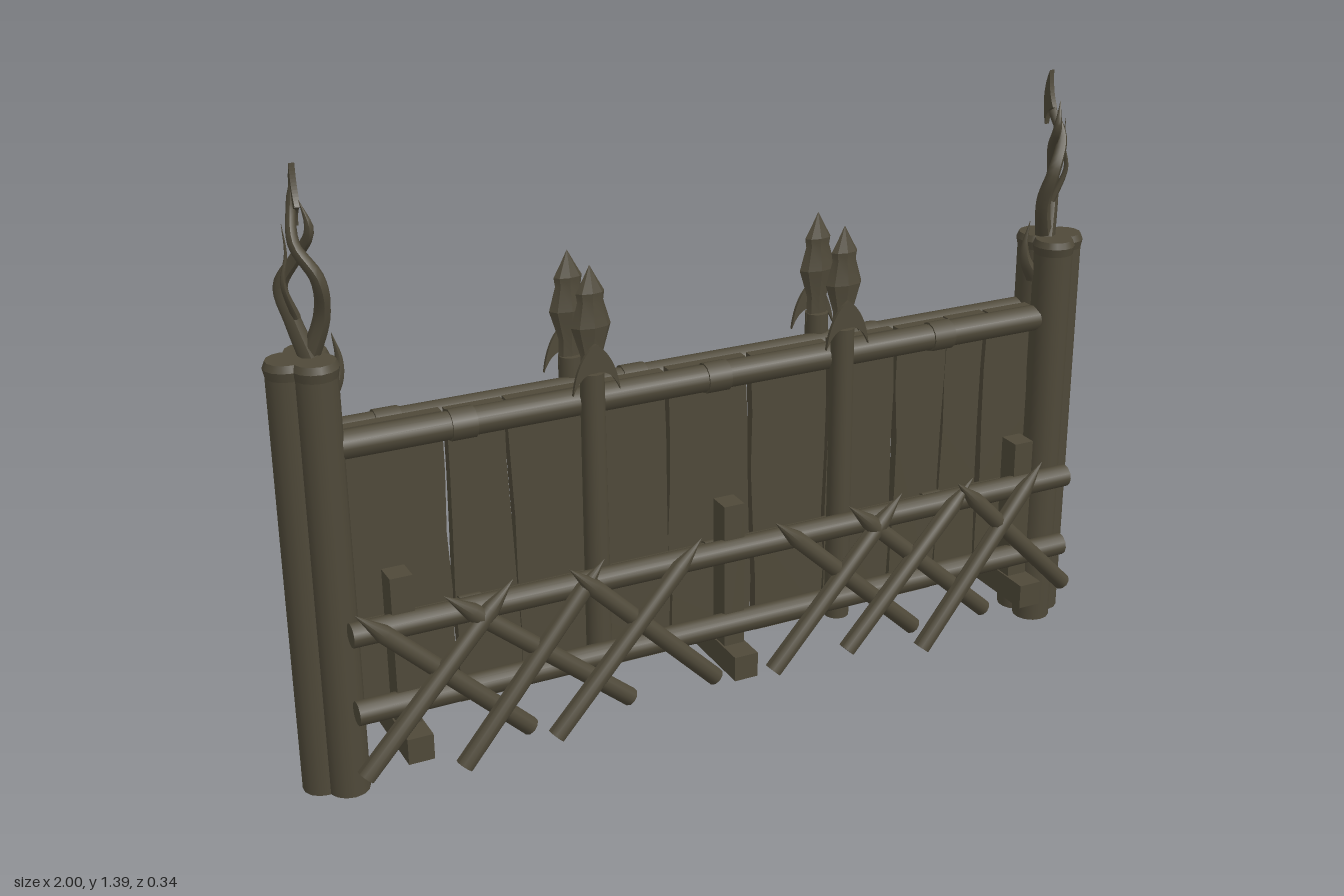
import * as THREE from 'three';
import { toCreasedNormals } from 'three/addons/utils/BufferGeometryUtils.js';

const V = (x, y, z) => new THREE.Vector3(x, y, z);

// small seeded random
function seeded(seed) {
  return () => ((seed = (seed * 16807) % 2147483647) / 2147483647);
}

export function createModel() {
  const model = new THREE.Group();
  const wood = new THREE.MeshStandardMaterial({ color: 0x4f4939 });
  wood.name = 'darkWood';
  const rand = seeded(77);

  function add(name, geo, parent = model) {
    const m = new THREE.Mesh(geo, wood);
    m.name = name;
    parent.add(m);
    return m;
  }
  function box(name, w, h, d, x, y, z) {
    add(name, new THREE.BoxGeometry(w, h, d)).position.set(x, y, z);
  }
  function upright(name, r, y0, y1, x, z, parent, r2 = r) {
    const g = new THREE.CylinderGeometry(r2, r, y1 - y0, 14);
    add(name, g, parent).position.set(x, (y0 + y1) / 2, z);
  }
  function beam(name, r, x0, x1, y, z, sides = 12) {
    const m = add(name, new THREE.CylinderGeometry(r, r, x1 - x0, sides));
    m.rotation.z = Math.PI / 2;
    m.position.set((x0 + x1) / 2, y, z);
  }
  // tube that narrows along its path by a radius rule
  function taperedTube(points, radius) {
    const curve = new THREE.CatmullRomCurve3(points);
    const steps = 28, sides = 7;
    const g = new THREE.TubeGeometry(curve, steps, 1, sides);
    const p = g.attributes.position, v = V();
    for (let i = 0; i < p.count; i++) {
      const t = Math.floor(i / (sides + 1)) / steps;
      const c = curve.getPointAt(t);
      v.fromBufferAttribute(p, i).sub(c).multiplyScalar(radius(t)).add(c);
      p.setXYZ(i, v.x, v.y, v.z);
    }
    g.computeVertexNormals();
    return g;
  }

  // plank wall with uneven seams
  const seams = [-0.87, -0.63, -0.485, -0.3, -0.11, 0.1, 0.3, 0.485, 0.62, 0.735, 0.87];
  const rows = [0.13, 0.27, 0.41, 0.55, 0.69, 0.832];
  const edges = seams.map((x) => {
    const lean = (rand() - 0.5) * 0.03;
    return rows.map((y, i) => ({
      x: x + lean * (i / 5 - 0.5) + (rand() - 0.5) * 0.008, gap: 0.001 + rand() * 0.006, y,
    }));
  });
  for (let i = 0; i < seams.length - 1; i++) {
    const s = new THREE.Shape([
      ...edges[i].map((e) => new THREE.Vector2(e.x + e.gap, e.y)),
      ...[...edges[i + 1]].reverse().map((e) => new THREE.Vector2(e.x - e.gap, e.y)),
    ]);
    const g = new THREE.ExtrudeGeometry(s, { depth: 0.024, bevelEnabled: false });
    add('plank', g).position.z = -0.096 + (i % 2) * 0.004;
  }

  // top and middle rails with binding rings, front and back
  for (const [z, rings] of [[-0.052, [-0.6, 0, 0.59]], [-0.122, [-0.74, -0.17, 0.43]]]) {
    beam('topRail', 0.031, -0.88, 0.88, 0.805, z);
    beam('middleRail', 0.024, -0.88, 0.88, 0.37, z + (z < -0.1 ? 0.005 : -0.005));
    for (const x of rings) {
      beam('railRing', 0.035, x - 0.028, x + 0.028, 0.805, z);
      beam('middleRailRing', 0.028, x - 0.025, x + 0.025, 0.37, z + (z < -0.1 ? 0.005 : -0.005));
    }
  }

  // tall spear stakes on both faces of the wall
  const headProfile = [[0.028, 0.86], [0.026, 0.92], [0.046, 0.985], [0.03, 1.04],
    [0.033, 1.06], [0.016, 1.09], [0, 1.12]].map(([r, y]) => new THREE.Vector2(r, y));
  const barbShape = new THREE.Shape();
  barbShape.moveTo(0, 0.95);
  barbShape.quadraticCurveTo(0.045, 0.92, 0.055, 0.84);
  barbShape.quadraticCurveTo(0.035, 0.89, 0, 0.885);
  const barbGeo = new THREE.ExtrudeGeometry(barbShape, { depth: 0.008, bevelEnabled: false });
  for (const x of [-0.31, 0.31]) {
    for (const side of [1, -1]) {
      const stake = new THREE.Group();
      stake.name = 'spearStake';
      stake.position.set(x, 0, side > 0 ? -0.022 : -0.142);
      if (side < 0) stake.rotation.y = Math.PI;
      upright('stakeShaft', 0.03, 0.15, 0.88, 0, 0, stake, 0.027);
      const head = toCreasedNormals(new THREE.LatheGeometry(headProfile, 8), 0.5);
      add('spearHead', head, stake).scale.z = 0.5;
      add('barb', barbGeo, stake).position.z = 0.017;
      const left = add('barb', barbGeo, stake);
      left.rotation.y = Math.PI;
      left.position.z = 0.025;
      model.add(stake);
    }
  }

  // clustered end posts with twisted horns on top
  for (const side of [-1, 1]) {
    const post = new THREE.Group();
    post.name = 'endPost';
    const lobes = [[0.953, -0.08, 0.044], [0.903, -0.046, 0.046], [0.903, -0.114, 0.046], [0.925, -0.08, 0.045]];
    for (const [x, z, r] of lobes) {
      upright('postLog', r, 0, 0.995, side * x, z, post);
      upright('postCap', r, 0.965, 0.985, side * x, z, post, r + 0.004);
      upright('postCap', r + 0.004, 0.985, 1.0, side * x, z, post, r - 0.002);
    }
    const P = (x, y, z) => V(side * x, y, z);
    const stem = (t) => 0.021 * (1 - t * 0.65) * (t > 0.85 ? (1 - t) / 0.15 : 1) + 0.0005;
    add('mainHorn', taperedTube([P(0.905, 0.98, -0.09), P(0.875, 1.09, -0.06), P(0.885, 1.17, -0.038),
      P(0.92, 1.24, -0.065), P(0.91, 1.31, -0.1), P(0.9, 1.39, -0.098)], stem), post);
    add('secondHorn', taperedTube([P(0.9, 0.98, -0.075), P(0.925, 1.07, -0.1), P(0.94, 1.14, -0.118),
      P(0.91, 1.21, -0.085), P(0.892, 1.27, -0.045), P(0.905, 1.33, -0.058)], stem), post);
    add('thinHorn', taperedTube([P(0.92, 1.08, -0.09), P(0.945, 1.16, -0.075), P(0.935, 1.22, -0.075),
      P(0.938, 1.28, -0.078)], (t) => 0.009 * (1 - t) + 0.0005), post);
    // leaf-like tip with backward barb
    const leaf = new THREE.Shape();
    leaf.moveTo(-0.095, 1.395);
    leaf.quadraticCurveTo(-0.125, 1.34, -0.103, 1.265);
    leaf.quadraticCurveTo(-0.1, 1.305, -0.075, 1.31);
    leaf.quadraticCurveTo(-0.095, 1.345, -0.095, 1.395);
    const tip = add('hornTip', new THREE.ExtrudeGeometry(leaf, { depth: 0.012, bevelEnabled: false }), post);
    tip.rotation.y = -Math.PI / 2;
    tip.position.x = side * 0.903 + 0.006;
    // small claw on the inner side
    add('innerClaw', taperedTube([P(0.875, 0.9, -0.08), P(0.85, 0.94, -0.08), P(0.843, 0.98, -0.08),
      P(0.855, 1.04, -0.08)], (t) => 0.02 * (1 - t) + 0.0005), post);
    model.add(post);
  }

  // brackets and rails carrying the slanted stakes
  for (const x of [-0.79, -0.013, 0.768]) {
    box('bracketUpright', 0.05, 0.41, 0.055, x, 0.335, 0.042);
    box('bracketFoot', 0.058, 0.06, 0.2, x, 0.16, 0.03);
  }
  beam('barrierRail', 0.027, -0.905, 0.895, 0.43, 0.067);
  beam('barrierRail', 0.027, -0.905, 0.895, 0.245, 0.067);

  // slanted sharpened stakes: [bottom x, bottom y, top x, bottom z, top z]
  const slanted = [
    [-0.92, 0.14, -0.56, 0.15, 0.115], [-0.7, 0.1, -0.35, 0.14, 0.115], [-0.49, 0.12, -0.12, 0.148, 0.12],
    [0.05, 0.14, 0.4, 0.14, 0.115], [0.24, 0.15, 0.59, 0.148, 0.12], [0.45, 0.1, 0.79, 0.142, 0.115],
    [-0.53, 0.13, -0.91, 0.1, 0.125], [-0.29, 0.14, -0.72, 0.1, 0.125], [-0.08, 0.14, -0.44, 0.105, 0.13],
    [0.45, 0.14, 0.06, 0.1, 0.125], [0.65, 0.14, 0.25, 0.1, 0.125], [0.88, 0.16, 0.54, 0.105, 0.13],
  ];
  for (const [x0, y0, x1, z0, z1] of slanted) {
    const a = V(x0, y0, z0), b = V(x1, 0.505, z1);
    const len = a.distanceTo(b);
    const profile = [[0, 0], [0.021, 0], [0.02, len - 0.08], [0, len]]
      .map(([r, y]) => new THREE.Vector2(r, y));
    const m = add('slantedStake', toCreasedNormals(new THREE.LatheGeometry(profile, 10), 0.8));
    m.position.copy(a);
    m.quaternion.setFromUnitVectors(V(0, 1, 0), b.sub(a).normalize());
  }

  return model;
}
